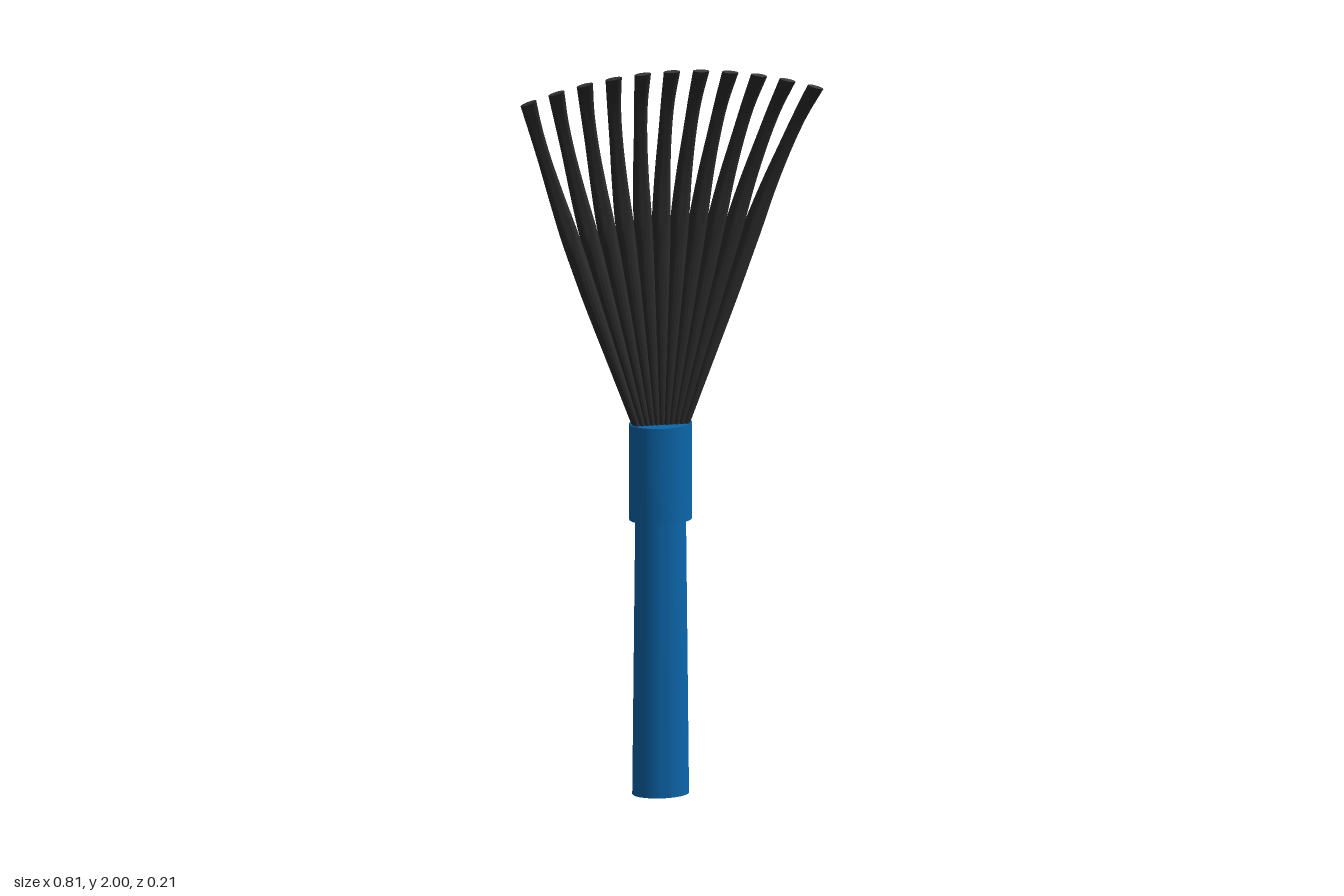
import * as THREE from 'three';
import { toCreasedNormals } from 'three/addons/utils/BufferGeometryUtils.js';

const blue = new THREE.MeshStandardMaterial({ color: 0x0b67ad });
const black = new THREE.MeshStandardMaterial({ color: 0x2b2b2b });
const AXIS_Z = -0.044;

// Oval turned part: profile of [radius, y], flattened in z
function ovalTurning(name, profile, flatten) {
  const points = profile.map(([r, y]) => new THREE.Vector2(r, y));
  const geometry = new THREE.LatheGeometry(points, 48);
  geometry.scale(1, 1, flatten);
  geometry.translate(0, 0, AXIS_Z);
  const mesh = new THREE.Mesh(toCreasedNormals(geometry, 0.6), blue);
  mesh.name = name;
  return mesh;
}

// One tine: oval sections swept along a forward curve in the yz plane.
// Rows are [y, z, width, depth], interpolated smoothly.
function tineGeometry() {
  const rows = [
    [0.95, -0.044, 0.016, 0.050],
    [1.00, -0.044, 0.020, 0.051],
    [1.20, -0.043, 0.034, 0.058],
    [1.40, -0.042, 0.047, 0.062],
    [1.55, -0.036, 0.049, 0.058],
    [1.68, -0.021, 0.042, 0.046],
    [1.80, 0.010, 0.036, 0.034],
    [1.90, 0.046, 0.037, 0.022],
    [1.997, 0.099, 0.044, 0.011],
  ];
  const path = new THREE.CatmullRomCurve3(rows.map(([y, z]) => new THREE.Vector3(0, y, z)));
  const size = new THREE.CatmullRomCurve3(rows.map(([, , w, d]) => new THREE.Vector3(w, d, 0)));
  const steps = 32, sides = 16;
  const positions = [], index = [];
  for (let i = 0; i <= steps; i++) {
    const t = i / steps;
    const p = path.getPoint(t), s = size.getPoint(t), dir = path.getTangent(t);
    for (let j = 0; j < sides; j++) {
      const a = (j / sides) * Math.PI * 2;
      const u = Math.cos(a) * s.x / 2, v = Math.sin(a) * s.y / 2;
      positions.push(u, p.y - dir.z * v, p.z + dir.y * v);
      if (i < steps) {
        const k = i * sides + j, n = i * sides + (j + 1) % sides;
        index.push(k, k + sides, n, n, k + sides, n + sides);
      }
    }
  }
  // End caps
  const last = steps * sides;
  for (let j = 1; j < sides - 1; j++) {
    index.push(0, j, j + 1, last, last + j + 1, last + j);
  }
  const geometry = new THREE.BufferGeometry();
  geometry.setAttribute('position', new THREE.Float32BufferAttribute(positions, 3));
  geometry.setIndex(index);
  return toCreasedNormals(geometry, 0.9);
}

export function createModel() {
  const model = new THREE.Group();
  model.name = 'handRake';

  // Grip with a shallow hollow in its butt end
  model.add(ovalTurning('handle', [
    [0, 0.05], [0.064, 0.05], [0.067, 0], [0.075, 0], [0.067, 0.76],
  ], 0.71));
  model.add(ovalTurning('collar', [
    [0, 0.745], [0.083, 0.745], [0.083, 1.005], [0, 1.005],
  ], 0.735));

  // Eleven tines fanned about a point inside the collar
  const fan = new THREE.Group();
  fan.name = 'tines';
  const geometry = tineGeometry();
  geometry.translate(0, -0.81, 0);
  for (let i = -5; i <= 5; i++) {
    const tine = new THREE.Mesh(geometry, black);
    tine.name = 'tine' + (i + 6);
    tine.position.y = 0.81;
    tine.rotation.z = -i * THREE.MathUtils.degToRad(3.77);
    fan.add(tine);
  }
  model.add(fan);
  return model;
}
